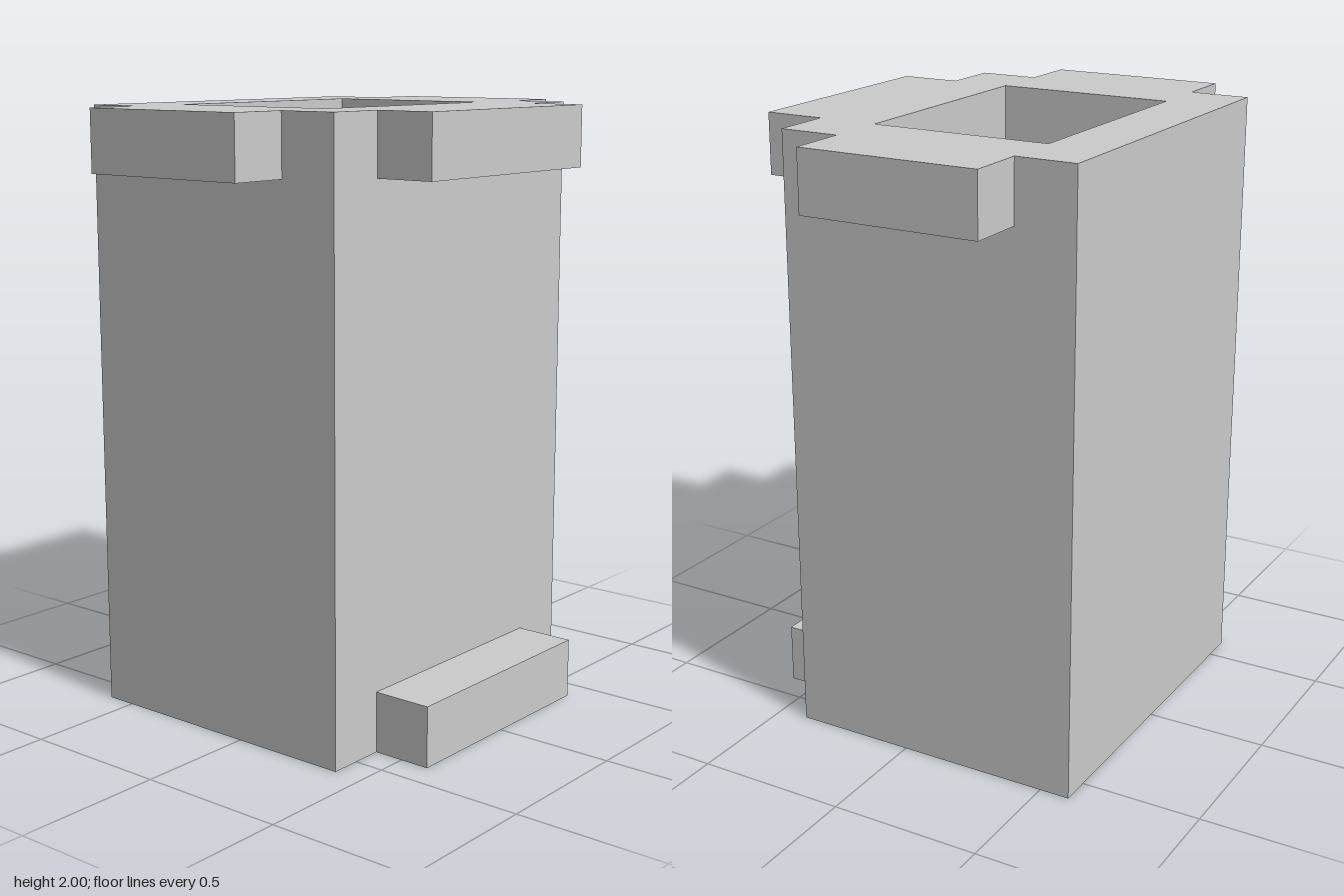
import * as THREE from 'three';

export function createModel() {
  const model = new THREE.Group();
  const material = new THREE.MeshStandardMaterial({ color: 0xcccccc, flatShading: true });

  const add = (name, geometry) => {
    const mesh = new THREE.Mesh(geometry, material);
    mesh.name = name;
    model.add(mesh);
  };

  // Box given by its limits along each axis
  const block = (name, [x0, x1], [y0, y1], [z0, z1]) => {
    const geometry = new THREE.BoxGeometry(x1 - x0, y1 - y0, z1 - z0);
    geometry.translate((x0 + x1) / 2, (y0 + y1) / 2, (z0 + z1) / 2);
    add(name, geometry);
  };

  // Rectangle in plan, with z pointing down the drawing
  const rect = (halfWidth, zBack, zFront) => [
    new THREE.Vector2(-halfWidth, -zFront),
    new THREE.Vector2(halfWidth, -zFront),
    new THREE.Vector2(halfWidth, -zBack),
    new THREE.Vector2(-halfWidth, -zBack),
  ];

  // Hollow walls, open at the top
  const plan = new THREE.Shape(rect(0.6, -0.6, 0.4));
  plan.holes.push(new THREE.Path(rect(0.4, -0.4, 0.2)));
  const walls = new THREE.ExtrudeGeometry(plan, { depth: 1.8, bevelEnabled: false });
  walls.rotateX(-Math.PI / 2).translate(0, 0.2, 0);
  add('walls', walls);

  // Closed floor
  block('floor', [-0.6, 0.6], [0, 0.2], [-0.6, 0.4]);

  // Tabs on the front, at the rim and at the foot
  block('frontRimTab', [-0.4, 0.4], [1.8, 2], [0.4, 0.6]);
  block('frontFootTab', [-0.4, 0.4], [0, 0.2], [0.4, 0.6]);

  // Tabs on both sides of the rim
  block('leftRimTab', [0.6, 0.8], [1.8, 2], [-0.4, 0.2]);
  block('rightRimTab', [-0.8, -0.6], [1.8, 2], [-0.4, 0.2]);

  return model;
}
